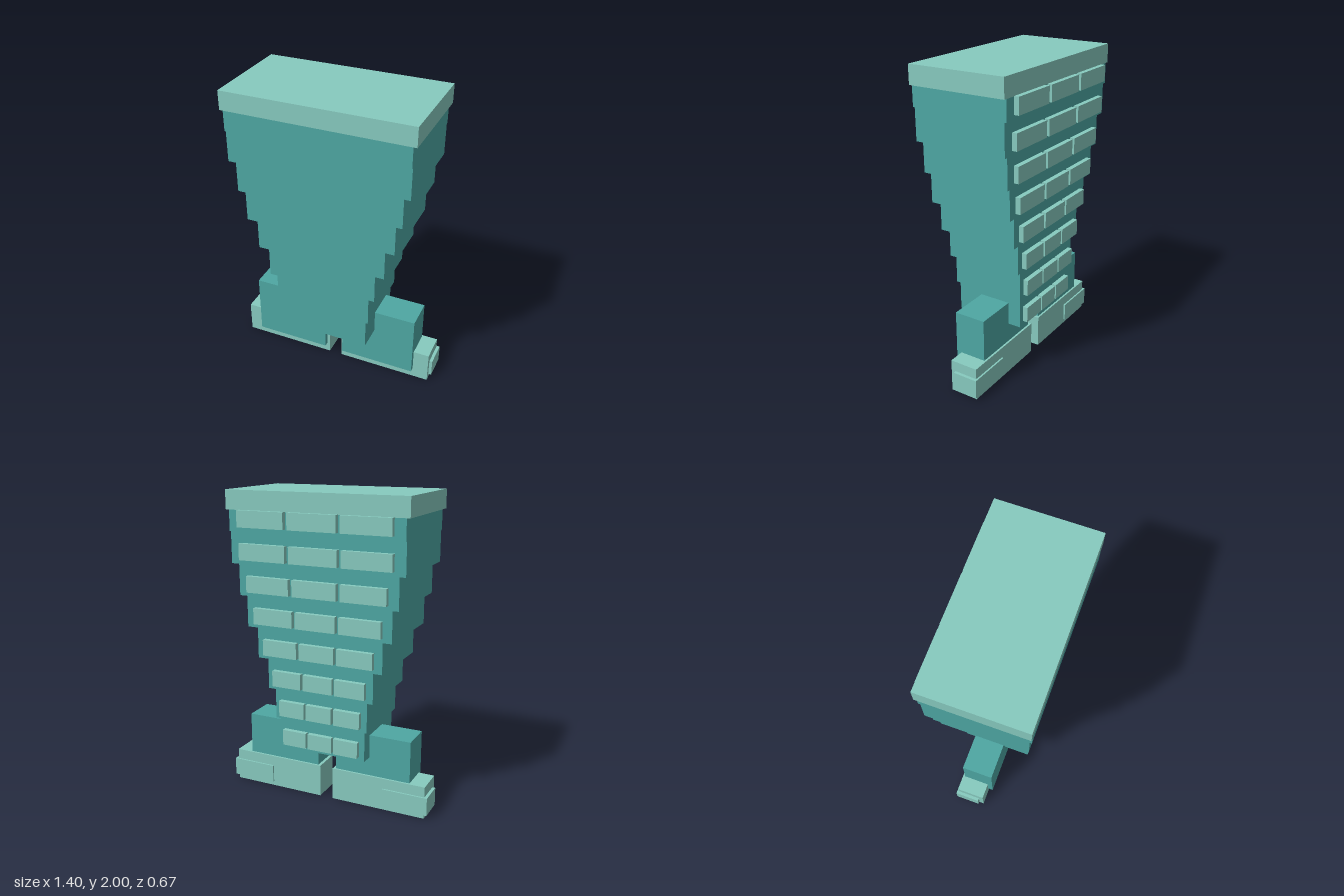
import * as THREE from 'three';

export function createModel() {
  const model = new THREE.Group();
  model.name = 'steppedFigure';

  const teal = new THREE.MeshStandardMaterial({ color: 0x4ea7a3 });
  teal.name = 'deep teal';
  const mint = new THREE.MeshStandardMaterial({ color: 0x87cabf });
  mint.name = 'pale mint';

  // Box given by its extents on each axis
  function addBox(parent, name, material, [x0, x1], [y0, y1], [z0, z1]) {
    const mesh = new THREE.Mesh(new THREE.BoxGeometry(x1 - x0, y1 - y0, z1 - z0), material);
    mesh.position.set((x0 + x1) / 2, (y0 + y1) / 2, (z0 + z1) / 2);
    mesh.name = name;
    parent.add(mesh);
  }

  // Body: eight tiers widening upwards, each with three plates on its back
  const halfWidths = [0.3, 0.32, 0.363, 0.426, 0.489, 0.532, 0.575, 0.575];
  const tierStep = 0.2015;
  const body = new THREE.Group();
  body.name = 'body';
  halfWidths.forEach((half, i) => {
    const bottom = 0.34 + i * tierStep;
    const top = i === 7 ? 1.88 : bottom + tierStep;
    const front = 0.248 + i * 0.0125;
    const back = -0.212 - i * 0.013;
    addBox(body, 'bodyTier', teal, [-half, half], [bottom, top], [back, front]);

    const plateHalf = half * 0.277;
    for (const side of [-1, 0, 1]) {
      const x = side * half * 0.6;
      addBox(body, 'backPlate', mint, [x - plateHalf, x + plateHalf],
        [bottom + 0.028, bottom + 0.131], [back - 0.032, back + 0.02]);
    }
  });
  model.add(body);

  // Flat cap on top
  addBox(model, 'cap', mint, [-0.597, 0.597], [1.88, 2], [-0.304, 0.337]);

  // Legs and feet, mirrored left and right
  for (const side of [-1, 1]) {
    const leg = new THREE.Group();
    leg.name = side > 0 ? 'leftLeg' : 'rightLeg';
    const span = (a, b) => (side > 0 ? [a, b] : [-b, -a]);
    addBox(leg, 'legBlock', teal, span(0.065, 0.575), [0.068, 0.491], [-0.128, 0.08]);
    addBox(leg, 'foot', mint, span(0.045, 0.68), [0, 0.215], [-0.141, 0.046]);
    addBox(leg, 'heelBlock', mint, span(0.4, 0.7), [0.028, 0.147], [-0.152, 0.015]);
    model.add(leg);
  }

  return model;
}
